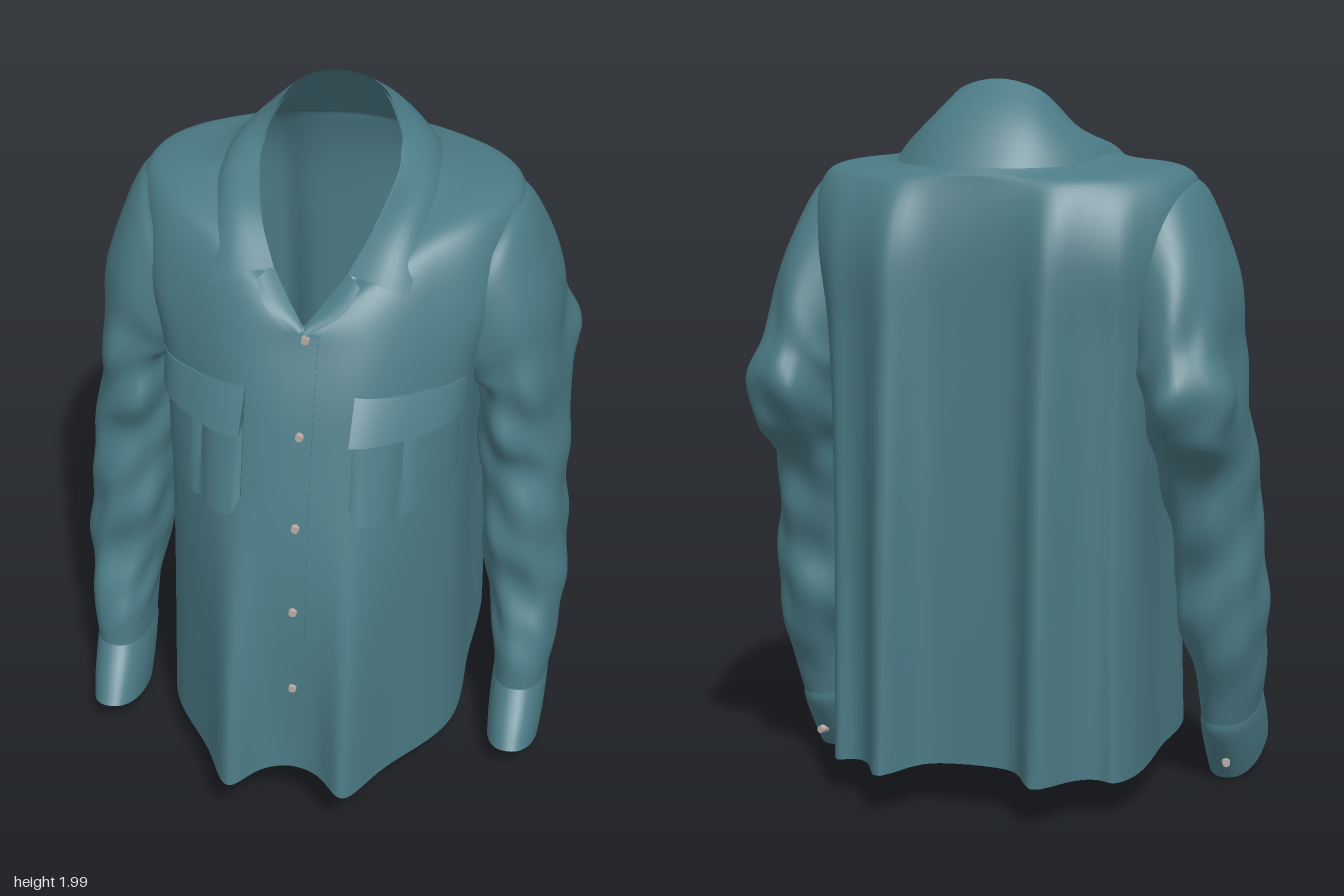
import * as THREE from 'three';
import { toCreasedNormals } from 'three/addons/utils/BufferGeometryUtils.js';

const V = (x, y, z) => new THREE.Vector3(x, y, z);
const smooth = (t, a, b) => THREE.MathUtils.smoothstep(t, a, b);
const bell = (d, w) => Math.exp(-(d / w) * (d / w));

const cloth = new THREE.MeshStandardMaterial({ color: 0x4b7a85, side: THREE.DoubleSide });
cloth.name = 'teal cloth';
const metal = new THREE.MeshStandardMaterial({ color: 0xb8aaa2 });
metal.name = 'pale button';

// Surface through rows of points; closed rows wrap round, and cut leaves holes
function loft(rows, closed = false, flip = false, cut = () => false) {
  const n = rows[0].length, index = [];
  for (let j = 0; j < rows.length - 1; j++) {
    for (let i = 0; i < (closed ? n : n - 1); i++) {
      const k = (i + 1) % n;
      if (cut(rows[j][i]) && cut(rows[j + 1][k])) continue;
      const a = j * n + i, b = j * n + k, c = (j + 1) * n + k, d = (j + 1) * n + i;
      if (flip) index.push(a, c, b, a, d, c);
      else index.push(a, b, c, a, c, d);
    }
  }
  const geo = new THREE.BufferGeometry().setFromPoints(rows.flat());
  geo.setIndex(index);
  geo.computeVertexNormals();
  return geo;
}

function mesh(name, geo, mat = cloth) {
  const m = new THREE.Mesh(geo, mat);
  m.name = name;
  return m;
}

// Half outlines of the body, from centre front round the left side to centre back
const hem = [[0, .2, .585], [.165, .19, .605], [.3, .15, .44], [.42, .115, .2],
  [.43, .11, -.1], [.43, .11, -.4], [.3, .12, -.52], [0, .14, -.545]];
const waist = [[0, .8, .565], [.165, .8, .54], [.3, .8, .4], [.41, .8, .18],
  [.42, .8, -.1], [.43, .8, -.4], [.29, .8, -.53], [0, .8, -.55]];
const chest = [[0, 1.27, .45], [.17, 1.28, .42], [.31, 1.28, .31], [.42, 1.28, .16],
  [.45, 1.28, -.1], [.45, 1.28, -.4], [.29, 1.28, -.53], [0, 1.28, -.54]];
const yoke = [[0, 1.5, .36], [.17, 1.52, .33], [.33, 1.53, .23], [.47, 1.54, .1],
  [.51, 1.55, -.12], [.5, 1.55, -.38], [.3, 1.55, -.53], [0, 1.55, -.53]];
const shoulder = [[0, 1.54, .345], [.16, 1.63, .26], [.31, 1.7, .15], [.44, 1.735, .03],
  [.52, 1.74, -.14], [.47, 1.735, -.33], [.27, 1.72, -.48], [0, 1.72, -.495]];
const neckBase = [[0, 1.55, .338], [.13, 1.65, .21], [.24, 1.74, .07], [.31, 1.78, -.06],
  [.33, 1.785, -.15], [.3, 1.78, -.29], [.18, 1.78, -.42], [0, 1.785, -.46]];
const neckEdge = [[0, 1.555, .335], [.1, 1.65, .22], [.155, 1.745, .1], [.19, 1.81, -.06],
  [.19, 1.845, -.13], [.178, 1.885, -.19], [.11, 1.965, -.262], [0, 1.985, -.278]];

function torsoGeometry() {
  const cols = 168, steps = 70;
  const rings = [hem, waist, chest, yoke, shoulder, neckBase, neckEdge].map((half) => {
    const back = half.slice(1, -1).reverse().map(([x, y, z]) => [-x, y, z]);
    return new THREE.CatmullRomCurve3([...half, ...back].map((p) => V(...p)), true, 'catmullrom', 0.5);
  });
  const rows = Array.from({ length: steps + 1 }, () => []);
  for (let i = 0; i < cols; i++) {
    const line = new THREE.CatmullRomCurve3(rings.map((r) => r.getPoint(i / cols)), false, 'catmullrom', 0.5);
    for (let j = 0; j <= steps; j++) {
      const p = line.getPoint(j / steps), ax = Math.abs(p.x);
      // Hanging folds, deepest at the hem
      if (p.z > .25) p.z += .08 * (1 - smooth(p.y, .2, 1.2)) * bell(ax - .17, .06);
      if (p.z < -.3) {
        const drop = THREE.MathUtils.clamp((1.75 - p.y) / 1.63, 0, 1) ** .65;
        p.z -= drop * (.145 * bell(ax - .22, .06) + .055 * bell(ax - .41, .04));
      }
      rows[j].push(p);
    }
  }
  // Armholes
  const armhole = (p) => Math.abs(p.x) > .38 && ((p.z + .15) / .25) ** 2 + ((p.y - 1.45) / .265) ** 2 < 1;
  return loft(rows, true, false, armhole);
}

// Sleeve rings: x, y, z, half width, half depth, tilt, roll in degrees, bow round the body
const sleeveRings = [
  [.465, 1.46, -.15, .28, .27, 0, 80, .05], [.485, 1.44, -.155, .265, .28, 0, 75, .04],
  [.51, 1.38, -.17, .205, .3, 0, 60, .015], [.535, 1.27, -.195, .135, .315, 0, 30, 0],
  [.55, 1.15, -.2, .12, .315, 0, 8, 0], [.56, 1.04, -.185, .125, .295, 0, 0, 0],
  [.567, .93, -.13, .125, .23, 0, 0, 0], [.585, .7, -.08, .12, .2, 0, 0, 0],
  [.6, .5, -.07, .115, .19, 0, 0, 0], [.61, .33, 0, .092, .18, .1, 0, 0],
  [.605, .21, .03, .077, .165, .15, 0, 0],
];
const cuffRings = [[.605, .22, .03, .078, .168, .15, 0, 0], [.604, .19, .045, .081, .175, .18, 0, 0],
  [.602, .12, .1, .08, .176, .24, 0, 0], [.6, .06, .145, .075, .175, .28, 0, 0]];

function tubeGeometry(rings, side, steps, wrinkle) {
  const curve = (pick) => new THREE.CatmullRomCurve3(rings.map(pick), false, 'catmullrom', .5);
  const centre = curve((r) => V(r[0], r[1], r[2]));
  const size = curve((r) => V(r[3], r[4], r[5]));
  const turn = curve((r) => V(THREE.MathUtils.degToRad(r[6]), r[7], 0));
  const rows = [], cols = 48;
  for (let j = 0; j <= steps; j++) {
    const c = centre.getPoint(j / steps), s = size.getPoint(j / steps), row = [];
    const { x: roll, y: bow } = turn.getPoint(j / steps);
    const loose = wrinkle * smooth(c.y, .2, .45) * (1 - smooth(c.y, 1.25, 1.42));
    for (let i = 0; i < cols; i++) {
      const a = (i / cols) * Math.PI * 2;
      const sx = Math.sign(Math.sin(a)) * Math.abs(Math.sin(a)) ** .85;
      const sz = Math.sign(Math.cos(a)) * Math.abs(Math.cos(a)) ** .85;
      // Crumpled cloth and the pushed-out elbow
      const r = 1 + loose * (.03 * Math.sin(c.y * 31 + 3 * a) + .03 * Math.sin(c.y * 17 - 2 * a + 1) + .025 * Math.sin(7 * a + c.y * 9));
      const w = s.x * sx * r + loose * .055 * bell(c.y - 1.15, .07) * bell(a - 2.35, .5);
      row.push(V(side * (c.x + w * Math.cos(roll) - bow * sz * sz), c.y + w * Math.sin(roll) + s.z * s.y * sz, c.z + s.y * sz * r));
    }
    rows.push(row);
  }
  return loft(rows, true, side > 0);
}

// Strip between an inner and an outer edge, puffed up along its middle
function stripGeometry(inner, outer, puff, segs, flip) {
  const a = new THREE.CatmullRomCurve3(inner), b = new THREE.CatmullRomCurve3(outer), rows = [];
  for (let j = 0; j <= 8; j++) {
    const t = j / 8, row = [];
    for (let i = 0; i <= segs; i++) {
      const p = a.getPoint(i / segs).lerp(b.getPoint(i / segs), t);
      const lift = puff * Math.sin(Math.PI * t);
      const out = V(p.x, 0, p.z + .1).normalize();
      row.push(p.add(V(out.x * lift, lift, out.z * lift)));
    }
    rows.push(row);
  }
  return loft(rows, false, flip);
}
const mirrored = (half) => [...half.slice(1).reverse().map(([x, y, z]) => V(-x, y, z)), ...half.map((p) => V(...p))];

export function createModel() {
  const shirt = new THREE.Group();
  shirt.name = 'shirt';
  const torso = mesh('torso', torsoGeometry());
  shirt.add(torso);

  const ray = new THREE.Raycaster();
  const hitOn = (target, from, dir) => {
    ray.set(from, dir);
    const hit = ray.intersectObject(target)[0];
    return hit ? hit.point : null;
  };

  // Cloth panel laid on the front of the body, edges tucked in
  function panel(name, x0, x1, top, bottom, lift, nx, ny) {
    const rows = [];
    for (let j = -1; j <= ny + 1; j++) {
      const row = [], t = THREE.MathUtils.clamp(j / ny, 0, 1);
      for (let i = -1; i <= nx + 1; i++) {
        const s = THREE.MathUtils.clamp(i / nx, 0, 1);
        const x = x0 + (x1 - x0) * s, y = THREE.MathUtils.lerp(bottom(s), top(s), t);
        const p = hitOn(torso, V(x, y, 2), V(0, 0, -1)) || V(x, y, .58);
        const edge = i < 0 || j < 0 || i > nx || j > ny;
        p.z += edge ? -.004 : lift(s, t);
        row.push(p);
      }
      rows.push(row);
    }
    shirt.add(mesh(name, toCreasedNormals(loft(rows, false, x1 < x0), .7)));
  }

  function addButton(target, from, dir, depth) {
    const p = hitOn(target, from, dir);
    if (!p) return;
    const b = mesh('button', new THREE.CylinderGeometry(.011, .013, depth, 14), metal);
    b.position.copy(p).addScaledVector(dir, -.007);
    b.quaternion.setFromUnitVectors(V(0, 1, 0), dir.clone().negate());
    shirt.add(b);
  }

  panel('placket', -.042, .042, () => 1.535, () => .206, () => .005, 4, 40);
  for (const y of [1.525, 1.275, 1.02, .765, .5]) addButton(torso, V(.008, y, 2), V(0, 0, -1), .014);

  for (const side of [1, -1]) {
    const label = side > 0 ? 'left' : 'right';
    const sleeve = mesh(label + 'Sleeve', tubeGeometry(sleeveRings, side, 80, 1));
    const cuff = mesh(label + 'Cuff', tubeGeometry(cuffRings, side, 10, 0));
    shirt.add(sleeve, cuff);

    // Chest pocket with rounded lower corners and centre pleat, and its flap
    const corner = (s) => .05 * Math.abs(2 * s - 1) ** 8;
    panel(label + 'Pocket', side * .15, side * .41, (s) => 1.32 - .05 * s, (s) => 1.035 - .03 * s + corner(s),
      (s, t) => .012 + .03 * Math.sin(Math.PI * s) ** .5 * (1 - .6 * t) - .02 * bell(s - .5, .06), 20, 12);
    panel(label + 'PocketFlap', side * .15, side * .425, (s) => 1.385 - .055 * s, (s) => 1.29 - .055 * s,
      (s, t) => .008 + (1 - t) * (.074 - .03 * s), 12, 6);

    // Lapel
    const flipX = (pts) => pts.map(([x, y, z]) => V(side * x, y, z));
    shirt.add(mesh(label + 'Lapel', stripGeometry(
      flipX([[.1, 1.66, .22], [.05, 1.605, .285], [0, 1.555, .34]]),
      flipX([[.14, 1.645, .265], [.11, 1.6, .32], [.01, 1.535, .36]]), .004, 10, side > 0)));

    // Cuff button, sewn right through the cloth
    addButton(cuff, V(side * .84, .07, -.8), V(side * -.3, 0, .954), .03);
  }

  // Collar, folded over from its upper edge
  const collarInner = [[0, 2, -.28], [.115, 1.97, -.265], [.183, 1.885, -.19], [.195, 1.82, -.06], [.16, 1.755, .1], [.1, 1.66, .225]];
  const collarOuter = [[0, 1.77, -.495], [.15, 1.77, -.465], [.27, 1.775, -.34], [.305, 1.785, -.1], [.285, 1.73, .09], [.27, 1.61, .26]];
  shirt.add(mesh('collar', stripGeometry(mirrored(collarInner), mirrored(collarOuter), .016, 80, false)));

  return shirt;
}
